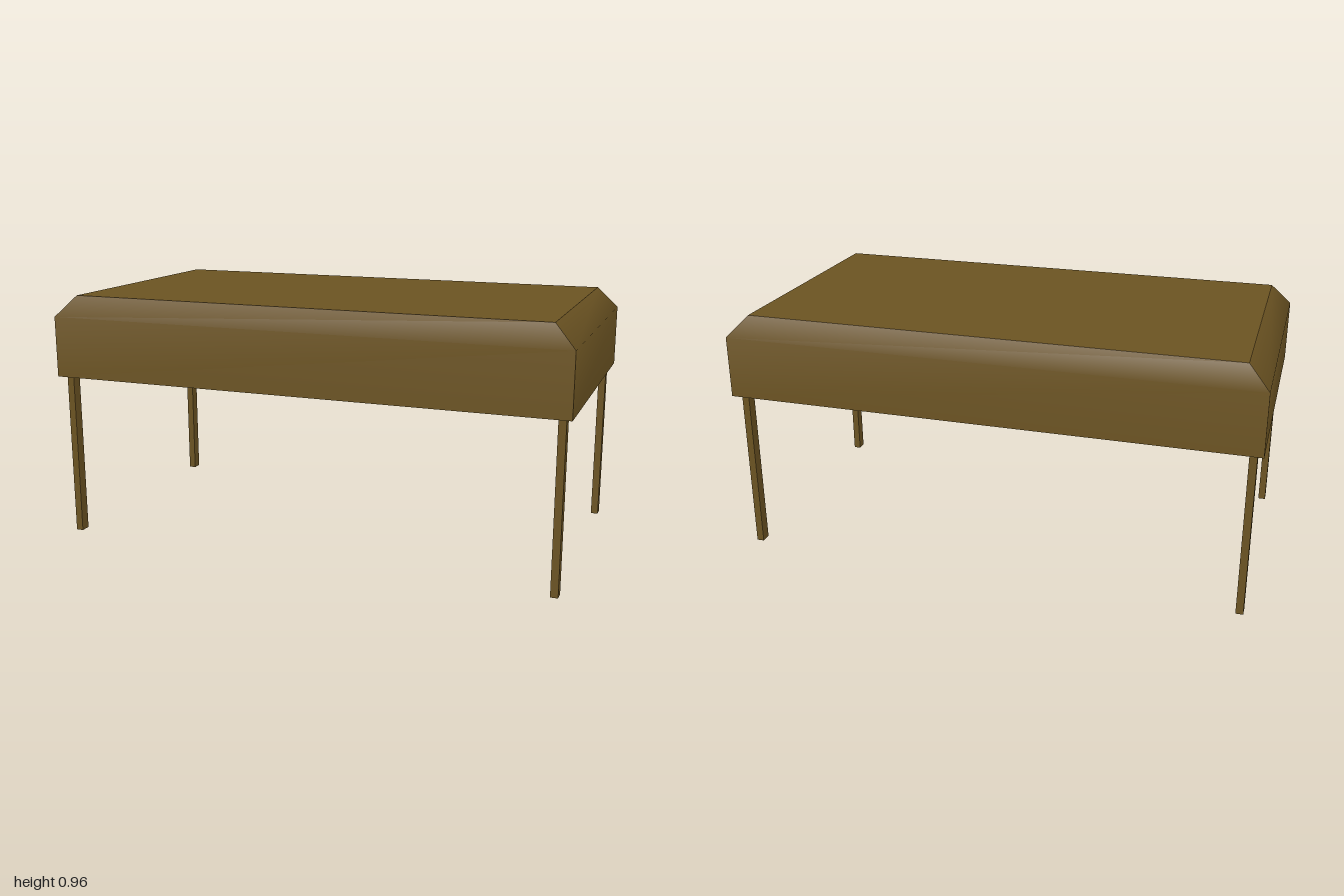
import * as THREE from 'three';

const wood = new THREE.MeshStandardMaterial({ color: 0x6b5322 });

// Indexed strip of quads between rows of two corners, wound counter-clockwise;
// shared corners blend the shading across the strip.
function strip(name, rows) {
  const index = [];
  for (let i = 0; i < rows.length - 1; i++) {
    const a = i * 2;
    index.push(a, a + 1, a + 3, a, a + 3, a + 2);
  }
  const geometry = new THREE.BufferGeometry();
  geometry.setAttribute('position', new THREE.Float32BufferAttribute(rows.flat(2), 3));
  geometry.setIndex(index);
  geometry.computeVertexNormals();
  const mesh = new THREE.Mesh(geometry, wood);
  mesh.name = name;
  return mesh;
}

export function createModel() {
  const group = new THREE.Group();
  group.name = 'table';

  // Cross-sections of the body from bottom to top: height, half width, half depth
  const sections = [[0.64, 1, 0.525], [0.875, 1, 0.525], [0.957, 0.922, 0.483]];
  const ring = ([y, w, d]) => [[-w, y, d], [w, y, d], [w, y, -d], [-w, y, -d]];
  const rings = sections.map(ring);

  // Four walls, each bending softly into its sloped upper edge
  const body = new THREE.Group();
  body.name = 'body';
  ['frontWall', 'leftWall', 'backWall', 'rightWall'].forEach((name, i) => {
    body.add(strip(name, rings.map((r) => [r[i], r[(i + 1) % 4]])));
  });

  // Flat top and underside
  const [low, , high] = rings;
  body.add(strip('top', [[high[0], high[1]], [high[3], high[2]]]));
  body.add(strip('underside', [[low[3], low[2]], [low[0], low[1]]]));
  group.add(body);

  // Four slender legs
  const legGeometry = new THREE.BoxGeometry(0.028, 0.64, 0.04);
  for (const x of [-1, 1]) {
    for (const z of [-1, 1]) {
      const leg = new THREE.Mesh(legGeometry, wood);
      leg.name = (z > 0 ? 'front' : 'back') + (x > 0 ? 'Left' : 'Right') + 'Leg';
      leg.position.set(x * 0.963, 0.32, z > 0 ? 0.476 : -0.472);
      group.add(leg);
    }
  }
  return group;
}
